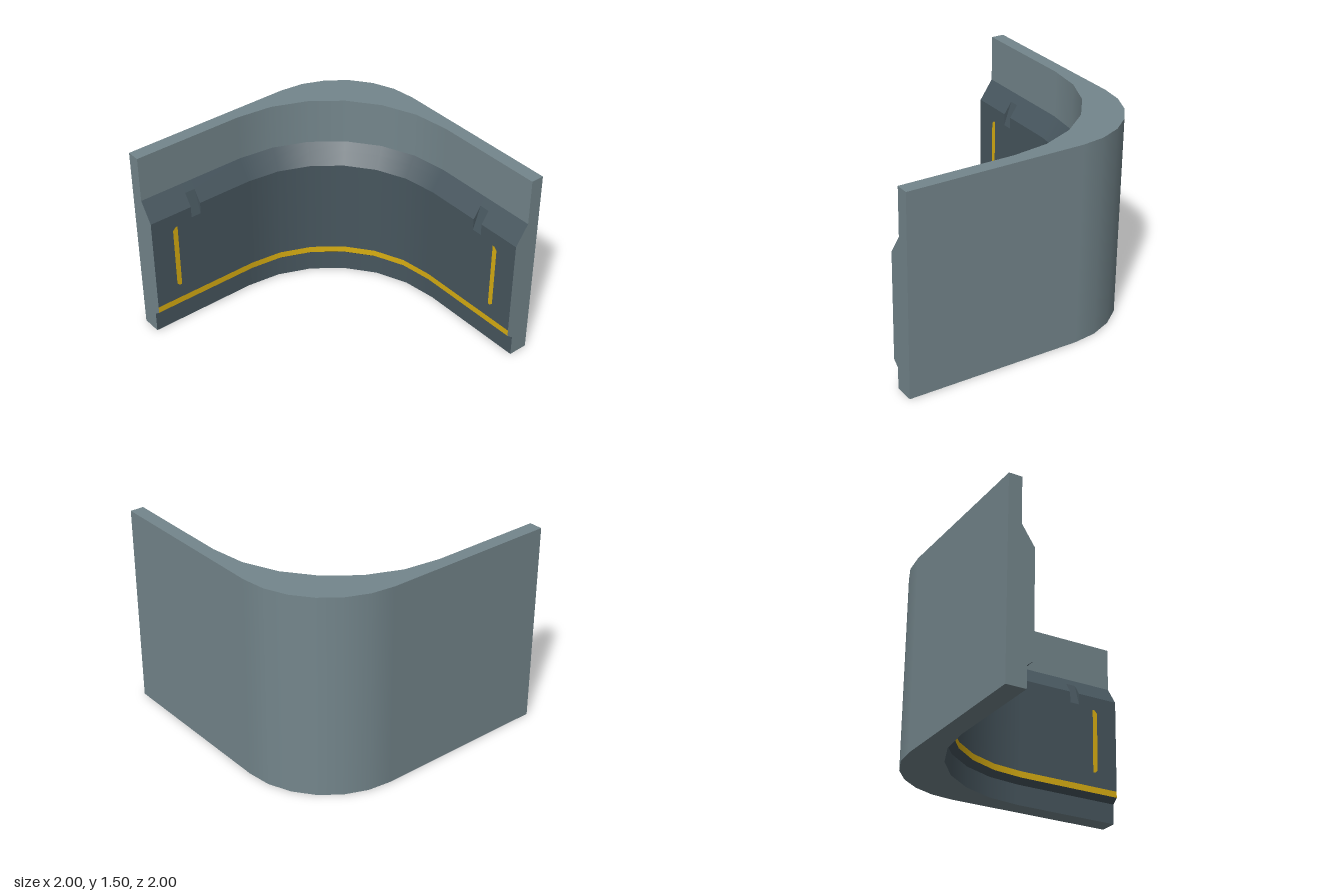
import * as THREE from 'three';
import { mergeGeometries } from 'three/addons/utils/BufferGeometryUtils.js';

const NOTCH = [0.58, 0.66]; // notch edges along each straight wall
const NOTCH_SEGMENTS = [1, 10];

// Plan outline at distance d from the centre: straight, quarter bend, straight
function outline(d) {
  const r = d === 1 ? 0.68 : d + 0.15;
  const c = d - r;
  const pts = [];
  for (const s of [1, NOTCH[1], NOTCH[0]]) pts.push({ x: -s, z: -d, nx: 0, nz: -1 });
  for (let i = 0; i <= 6; i++) {
    const a = (i / 6) * Math.PI / 2;
    const nx = Math.sin(a), nz = -Math.cos(a);
    pts.push({ x: c + r * nx, z: -c + r * nz, nx, nz });
  }
  for (const s of [NOTCH[0], NOTCH[1], 1]) pts.push({ x: d, z: s, nx: 1, nz: 0 });
  return pts;
}

// Surface swept along the outline between two profile points [d, y]
function strip(p, q, keep = () => true) {
  const a = outline(p[0]), b = outline(q[0]);
  const len = Math.hypot(q[0] - p[0], q[1] - p[1]);
  const out = -(q[1] - p[1]) / len, up = (q[0] - p[0]) / len;
  const pos = [], nor = [], index = [];
  a.forEach((s, i) => {
    pos.push(s.x, p[1], s.z, b[i].x, q[1], b[i].z);
    for (let k = 0; k < 2; k++) nor.push(s.nx * out, up, s.nz * out);
    if (i < a.length - 1 && keep(i)) {
      const n = 2 * i;
      index.push(n, n + 2, n + 3, n, n + 3, n + 1);
    }
  });
  const g = new THREE.BufferGeometry();
  g.setAttribute('position', new THREE.Float32BufferAttribute(pos, 3));
  g.setAttribute('normal', new THREE.Float32BufferAttribute(nor, 3));
  g.setIndex(index);
  return g;
}

function flat(points, z) {
  const shape = new THREE.Shape(points.map(([x, y]) => new THREE.Vector2(x, y)));
  const g = new THREE.ShapeGeometry(shape).translate(0, 0, z);
  g.deleteAttribute('uv');
  return g;
}

// The same flat shape reflected onto the other wall
function mirrored(points, z) {
  return flat(points.map(([x, y]) => [-x, y]), z).rotateY(-Math.PI / 2);
}

export function createModel() {
  const group = new THREE.Group();
  const shell = new THREE.MeshStandardMaterial({ color: 0x74868c });
  const panel = new THREE.MeshStandardMaterial({ color: 0x47565e, side: THREE.DoubleSide });
  const yellow = new THREE.MeshStandardMaterial({ color: 0xd9ae12 });

  function add(name, geometries, material) {
    const mesh = new THREE.Mesh(mergeGeometries(geometries), material);
    mesh.name = name;
    group.add(mesh);
  }

  // Wall section, running up the inside, over the top and down the outside
  const section = [
    [0.85, 0], [0.85, 0.16], [0.8, 0.2], [0.8, 0.25], [0.8, 0.91], [0.8, 1],
    [0.86, 1.09], [0.9, 1.15], [0.9, 1.5], [1, 1.5], [1, 0],
  ];
  const side = (i, keep) => strip(section[i], section[(i + 1) % section.length], keep);
  const inNotch = (i) => NOTCH_SEGMENTS.includes(i);
  const offNotch = (i) => !inNotch(i);

  // Inner cladding
  add('skirting', [side(0), side(1)], panel);
  add('floorStripe', [side(2)], yellow);
  add('innerPanel', [side(3), side(4, offNotch)], panel);
  add('slopedLedge', [side(5, offNotch), side(6)], panel);

  // Notches cut across the ledge edge
  const cheek = [section[4], section[5], section[6]];
  const notchParts = [strip(section[4], section[6], inNotch)];
  for (const s of NOTCH) notchParts.push(flat(cheek, s), mirrored(cheek, s));
  add('ledgeNotches', notchParts, panel);

  // Outer shell and end faces
  add('upperInnerWall', [side(7)], shell);
  add('topFace', [side(8)], shell);
  add('outerWall', [side(9)], shell);
  add('bottomFace', [side(10)], shell);
  add('endFaces', [flat(section, 1), mirrored(section, 1)], shell);

  // Vertical marker bars near each end
  const bar = [
    [-0.825, 0.39], [-0.805, 0.368], [-0.785, 0.368],
    [-0.785, 0.89], [-0.8, 0.89], [-0.825, 0.865],
  ];
  add('markerBars', [flat(bar, -0.797), mirrored(bar, -0.797)], yellow);

  return group;
}
